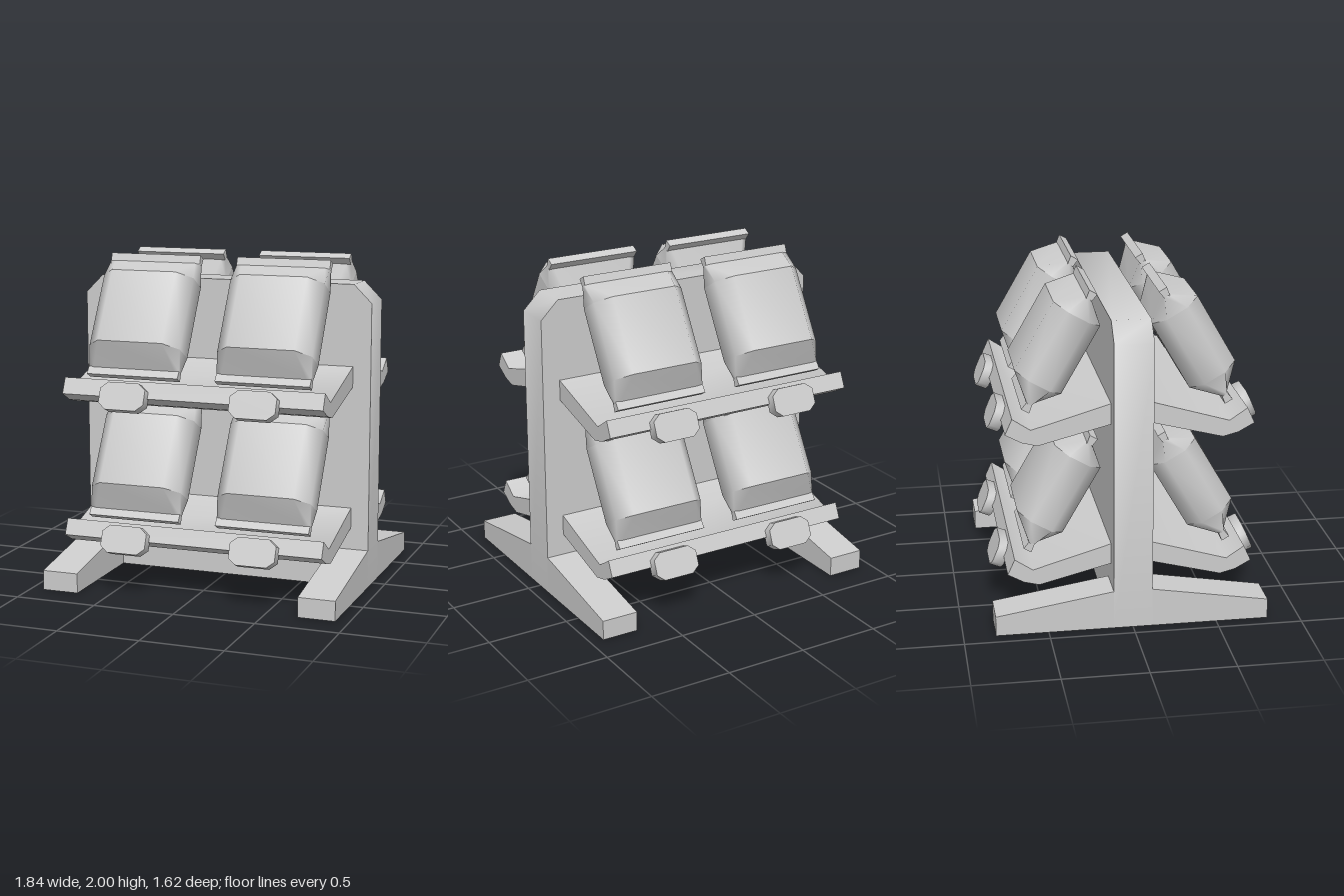
import * as THREE from 'three';
import { toCreasedNormals, mergeGeometries } from 'three/addons/utils/BufferGeometryUtils.js';

const grey = new THREE.MeshStandardMaterial({ color: 0xcccccc });
grey.name = 'grey';

// Extrudes an outline centred along its depth, softening shallow edges
function slab(points, depth) {
  const shape = new THREE.Shape(points.map(p => new THREE.Vector2(...p)));
  const geo = new THREE.ExtrudeGeometry(shape, { depth, bevelEnabled: false });
  geo.translate(0, 0, -depth / 2);
  return toCreasedNormals(geo, 0.9);
}

// Extrudes a side outline given as (z, y) along x
const sideSlab = (points, width) => slab(points, width).rotateY(-Math.PI / 2);

function add(parent, name, geo, x = 0, y = 0, z = 0, tilt = 0) {
  const mesh = new THREE.Mesh(geo, grey);
  mesh.name = name;
  mesh.position.set(x, y, z);
  mesh.rotation.x = tilt;
  parent.add(mesh);
}

// Rectangle ring with cut corners, counter-clockwise seen from above
function ring(y, w, h, cx, cz) {
  return [
    [w - cx, h], [w, h - cz], [w, cz - h], [w - cx, -h],
    [cx - w, -h], [-w, cz - h], [-w, h - cz], [cx - w, h],
  ].map(([x, z]) => [x, y, z]);
}

// Smooth band between two rings (lower first), with its own normals
function band(low, high) {
  const geo = new THREE.BufferGeometry();
  const n = low.length, index = [];
  for (let i = 0; i < n; i++) {
    const j = (i + 1) % n;
    index.push(i, n + i, j, j, n + i, n + j);
  }
  geo.setAttribute('position', new THREE.Float32BufferAttribute([...low, ...high].flat(), 3));
  geo.setIndex(index);
  geo.computeVertexNormals();
  // Ring runs clockwise about +y, so reverse the faces to look outward
  const flipped = [];
  for (let i = 0; i < index.length; i += 3) flipped.push(index[i], index[i + 2], index[i + 1]);
  geo.setIndex(flipped);
  geo.computeVertexNormals();
  return outward(geo);
}

// Makes sure the faces of a band point away from its axis
function outward(geo) {
  const p = geo.attributes.position, id = geo.index.array;
  const a = new THREE.Vector3(), b = new THREE.Vector3(), c = new THREE.Vector3();
  let sum = 0;
  for (let i = 0; i < id.length; i += 3) {
    a.fromBufferAttribute(p, id[i]);
    b.fromBufferAttribute(p, id[i + 1]).sub(a);
    c.fromBufferAttribute(p, id[i + 2]).sub(a);
    const nrm = b.cross(c);
    sum += nrm.x * a.x + nrm.z * a.z;
  }
  if (sum < 0) {
    for (let i = 0; i < id.length; i += 3) [id[i + 1], id[i + 2]] = [id[i + 2], id[i + 1]];
    geo.computeVertexNormals();
  }
  return geo;
}

export function createModel() {
  const model = new THREE.Group();
  model.name = 'displayRack';

  // Upright panel with clipped top corners
  add(model, 'panel', slab([
    [-0.92, 0], [0.92, 0], [0.92, 1.74], [0.81, 1.85], [-0.81, 1.85], [-0.92, 1.74],
  ], 0.23));

  // Shared part shapes
  const foot = sideSlab([[0.11, 0], [0.81, 0], [0.81, 0.12], [0.11, 0.235]], 0.225);
  const shelf = sideSlab([
    [0.11, 1.235], [0.54, 1.125], [0.63, 1.148], [0.725, 1.2],
    [0.683, 1.293], [0.577, 1.222], [0.11, 1.36],
  ], 1.62);
  const tag = slab([
    [-0.095, -0.083], [0.095, -0.083], [0.142, -0.045], [0.142, 0.045],
    [0.095, 0.083], [-0.095, 0.083], [-0.142, 0.045], [-0.142, -0.045],
  ], 0.07);

  // Stuffed packet: body, tapering shoulders
  const bodyTop = ring(0.229, 0.29, 0.155, 0.085, 0.085);
  const bodyLow = ring(-0.229, 0.29, 0.155, 0.085, 0.085);
  const neckTop = ring(0.35, 0.29, 0.018, 0.03, 0.004);
  const neckLow = ring(-0.35, 0.29, 0.018, 0.03, 0.004);
  const packet = mergeGeometries([
    band(bodyLow, bodyTop), band(bodyTop, neckTop), band(neckLow, bodyLow),
  ]);
  // Flared seal strip along a packet end
  const seal = sideSlab([[-0.018, 0.345], [0.018, 0.345], [0.026, 0.397], [-0.026, 0.397]], 0.58);
  const lowSeal = seal.clone().rotateX(Math.PI);

  // Each face of the rack carries two shelves of two packets
  for (const face of ['front', 'back']) {
    const half = new THREE.Group();
    half.name = face + 'Half';
    if (face === 'back') half.rotation.y = Math.PI;
    model.add(half);

    for (const s of [-1, 1]) add(half, 'foot', foot, s * 0.8075);

    for (const drop of [0, -0.867]) {
      add(half, 'shelf', shelf, 0, drop, 0);
      for (const s of [-1, 1]) {
        add(half, 'priceTag', tag, s * 0.405, 1.203 + drop, 0.743, -0.4);
        const bag = new THREE.Group();
        bag.name = 'packet';
        bag.position.set(s * 0.407, 1.642 + drop, 0.397);
        bag.rotation.x = -Math.PI / 6;
        add(bag, 'packetBody', packet);
        add(bag, 'topSeal', seal);
        add(bag, 'bottomSeal', lowSeal);
        half.add(bag);
      }
    }
  }
  return model;
}
